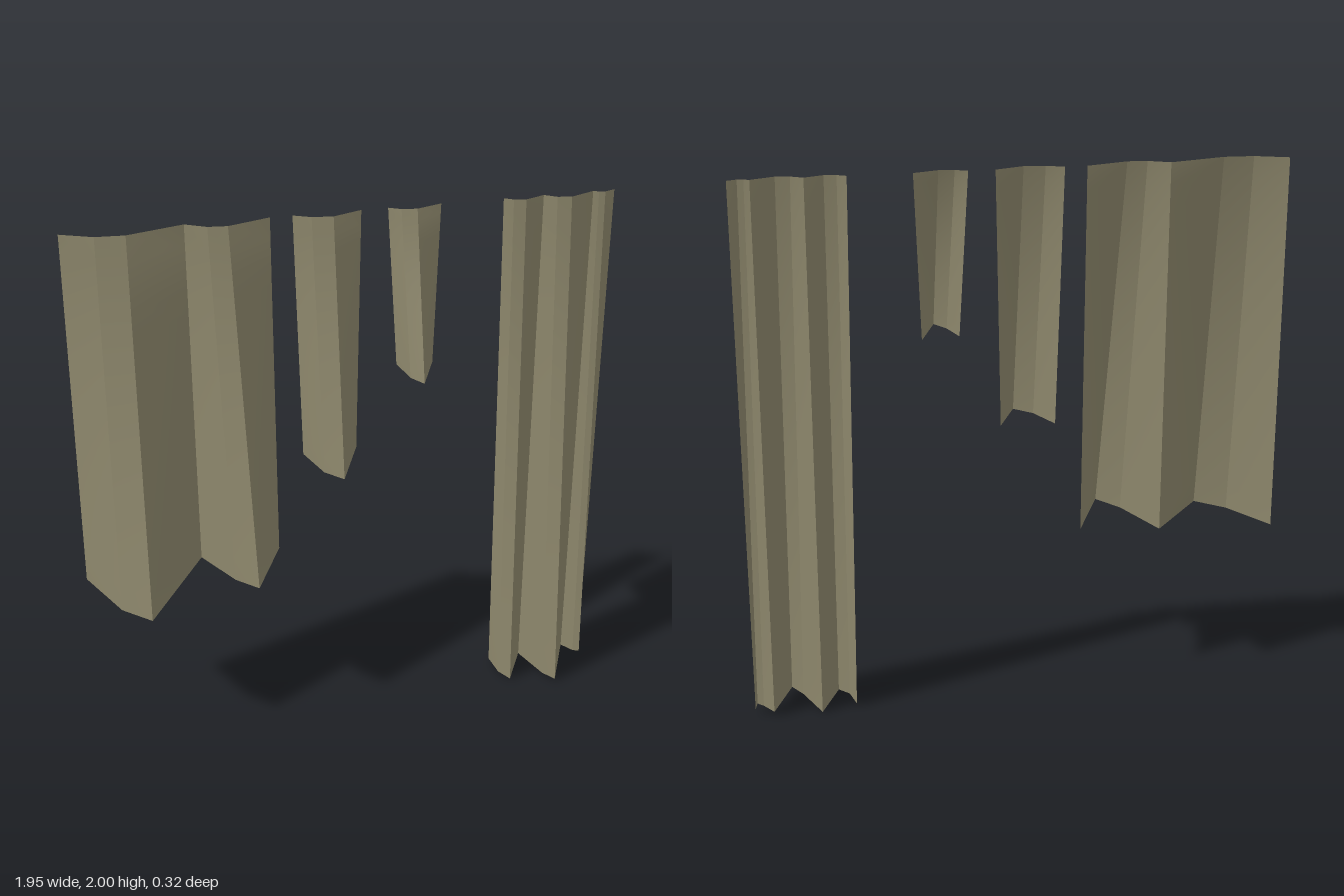
import * as THREE from 'three';
import { mergeGeometries } from 'three/addons/utils/BufferGeometryUtils.js';

const ROWS = 16;

// One ruled panel between two straight side lines, smooth inside, sharp at its sides
function ruledPanel(topA, bottomA, topB, bottomB) {
  const positions = [], indices = [];
  for (let r = 0; r <= ROWS; r++) {
    for (const [top, bottom] of [[topA, bottomA], [topB, bottomB]]) {
      positions.push(...new THREE.Vector3(top[0], 2, top[1]).lerp(new THREE.Vector3(...bottom), r / ROWS));
    }
    const k = 2 * r;
    if (r < ROWS) indices.push(k, k + 2, k + 3, k, k + 3, k + 1);
  }
  const geometry = new THREE.BufferGeometry();
  geometry.setAttribute('position', new THREE.Float32BufferAttribute(positions, 3));
  geometry.setIndex(indices);
  geometry.computeVertexNormals();
  return geometry;
}

// One open folded sheet: a shallow top edge flaring out to a deep bottom edge.
// top: [x, z] at y = 2, bottom: [x, y, z], both running left to right in front view
function foldedSheet(name, top, bottom, material) {
  const panels = [];
  for (let i = 0; i < top.length - 1; i++) {
    panels.push(ruledPanel(top[i], bottom[i], top[i + 1], bottom[i + 1]));
  }
  const mesh = new THREE.Mesh(mergeGeometries(panels), material);
  mesh.name = name;
  return mesh;
}

export function createModel() {
  const model = new THREE.Group();
  model.name = 'foldedDrapes';
  const cloth = new THREE.MeshStandardMaterial({ color: 0x8c866b, side: THREE.DoubleSide });
  cloth.name = 'olive grey';

  const sheets = [
    // wide pair of folds
    ['wideFold',
      [[-0.97, -0.162], [-0.853, -0.12], [-0.747, -0.113], [-0.545, -0.162]],
      [[-0.973, 0.607, -0.135], [-0.862, 0.598, 0.073], [-0.76, 0.598, 0.16], [-0.54, 0.633, -0.158]]],
    ['mediumFold',
      [[-0.545, -0.162], [-0.47, -0.127], [-0.4, -0.12], [-0.25, -0.162]],
      [[-0.54, 0.633, -0.158], [-0.437, 0.648, 0.033], [-0.361, 0.655, 0.112], [-0.247, 0.648, -0.143]]],
    // two short single folds
    ['shortFold',
      [[-0.172, -0.162], [-0.11, -0.137], [-0.035, -0.128], [0.068, -0.162]],
      [[-0.152, 1.06, -0.13], [-0.098, 1.056, 0.003], [-0.035, 1.056, 0.062], [0.046, 1.066, -0.133]]],
    ['shortestFold',
      [[0.162, -0.162], [0.205, -0.142], [0.26, -0.135], [0.35, -0.162]],
      [[0.19, 1.404, -0.122], [0.219, 1.402, -0.017], [0.258, 1.404, 0.037], [0.323, 1.398, -0.125]]],
    // long cluster of three narrow folds
    ['longFold',
      [[0.573, -0.162], [0.605, -0.145], [0.648, -0.138], [0.717, -0.162]],
      [[0.587, 0.01, -0.135], [0.604, 0.008, -0.048], [0.64, 0.004, 0]
        , [0.716, 0, -0.158]]],
    ['longWideFold',
      [[0.717, -0.162], [0.76, -0.138], [0.81, -0.13], [0.896, -0.162]],
      [[0.716, 0, -0.158], [0.774, 0.004, -0.012], [0.811, 0.009, 0.042], [0.892, 0.018, -0.158]]],
    ['longNarrowFold',
      [[0.896, -0.162], [0.915, -0.154], [0.937, -0.15], [0.973, -0.162]],
      [[0.892, 0.018, -0.158], [0.927, 0.021, -0.11], [0.949, 0.025, -0.096], [0.959, 0.028, -0.142]]],
  ];
  for (const [name, top, bottom] of sheets) model.add(foldedSheet(name, top, bottom, cloth));
  return model;
}
